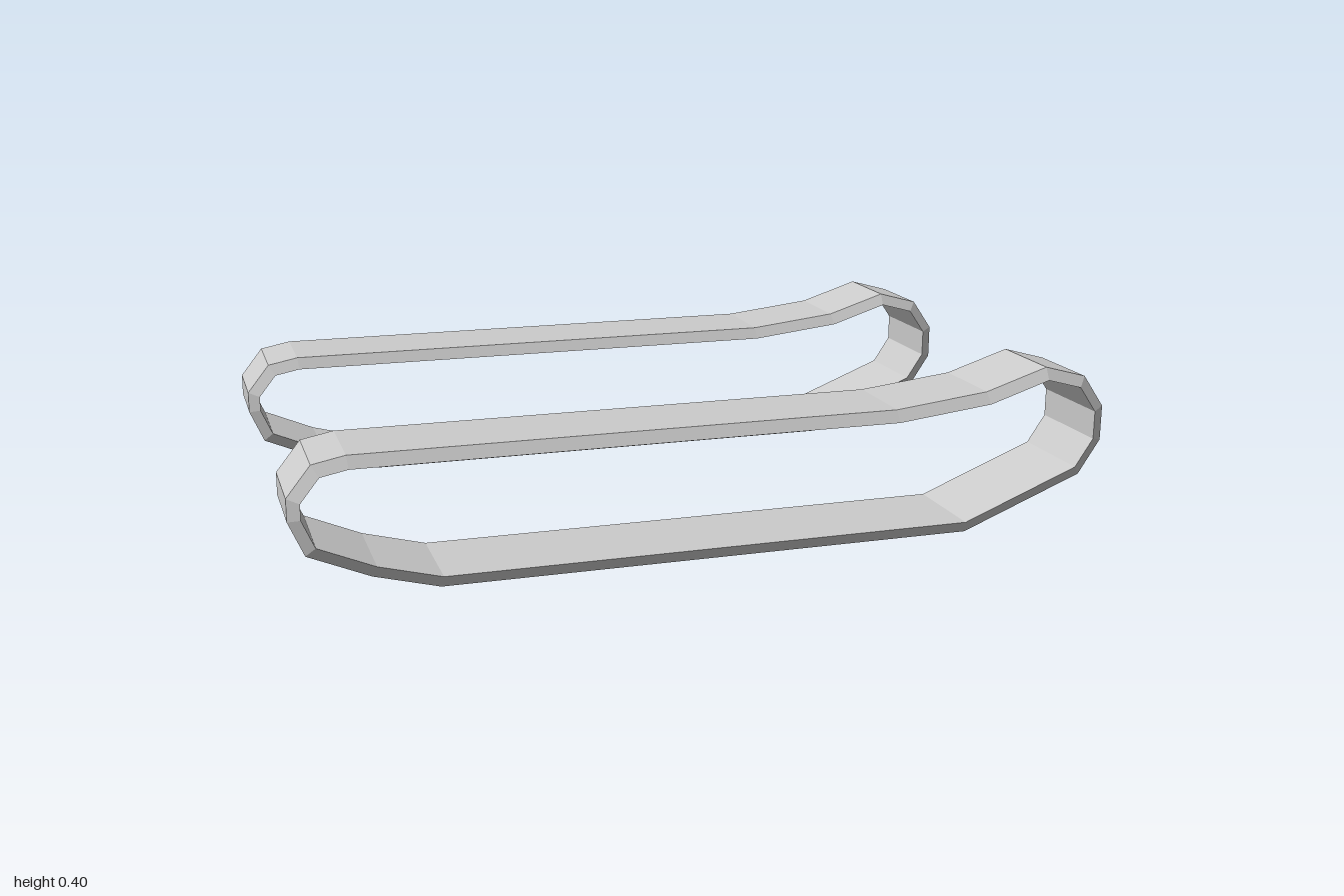
import * as THREE from 'three';

// Outer outline of a track, side-on, clockwise from the top left
const OUTLINE = [
  [-0.845, 0.317], [0.43, 0.317], [0.66, 0.343], [0.815, 0.392], [0.92, 0.363],
  [0.974, 0.285], [0.974, 0.2], [0.92, 0.118], [0.62, 0.0], [-0.65, 0.0],
  [-0.8, 0.04], [-0.94, 0.1], [-0.975, 0.18], [-0.975, 0.232], [-0.92, 0.302],
].map(([x, y]) => new THREE.Vector2(x, y));

const THICKNESS = 0.028;
const OUTER_HALF = 0.1;   // half width of the tread face
const INNER_HALF = 0.115; // half width of the inside face

// Mitred inward offset of the closed outline
function inset(points, t) {
  const n = points.length;
  return points.map((p, i) => {
    const a = p.clone().sub(points[(i + n - 1) % n]).normalize();
    const b = points[(i + 1) % n].clone().sub(p).normalize();
    const na = new THREE.Vector2(a.y, -a.x);
    const nb = new THREE.Vector2(b.y, -b.x);
    const m = na.clone().add(nb);
    return p.clone().addScaledVector(m, t / (1 + na.dot(nb)));
  });
}

// Closed band with a trapezoid section: narrow outside, wide inside
function trackGeometry() {
  const inner = inset(OUTLINE, THICKNESS);
  const n = OUTLINE.length;
  const positions = [];
  const index = [];
  for (let i = 0; i < n; i++) {
    const o = OUTLINE[i], q = inner[i], j = (i + 1) % n;
    positions.push(o.x, o.y, OUTER_HALF, o.x, o.y, -OUTER_HALF);
    positions.push(q.x, q.y, -INNER_HALF, q.x, q.y, INNER_HALF);
    for (let k = 0; k < 4; k++) {
      const l = (k + 1) % 4;
      const a = i * 4 + k, b = j * 4 + k, c = j * 4 + l, d = i * 4 + l;
      index.push(a, b, c, a, c, d);
    }
  }
  const indexed = new THREE.BufferGeometry();
  indexed.setAttribute('position', new THREE.Float32BufferAttribute(positions, 3));
  indexed.setIndex(index);
  const geometry = indexed.toNonIndexed();
  geometry.computeVertexNormals();
  return geometry;
}

export function createModel() {
  const model = new THREE.Group();
  model.name = 'trackPair';
  const material = new THREE.MeshStandardMaterial({ color: 0xcccccc, flatShading: true });
  const geometry = trackGeometry();

  // Two matching tracks, the pair turned and tipped slightly
  const tracks = new THREE.Group();
  tracks.name = 'tracks';
  for (const [name, z] of [['frontTrack', 0.465], ['backTrack', -0.465]]) {
    const track = new THREE.Mesh(geometry, material);
    track.name = name;
    track.position.z = z;
    tracks.add(track);
  }
  tracks.rotation.set(0.0075, -0.044, 0);
  tracks.position.y = 0.005;
  model.add(tracks);
  return model;
}
